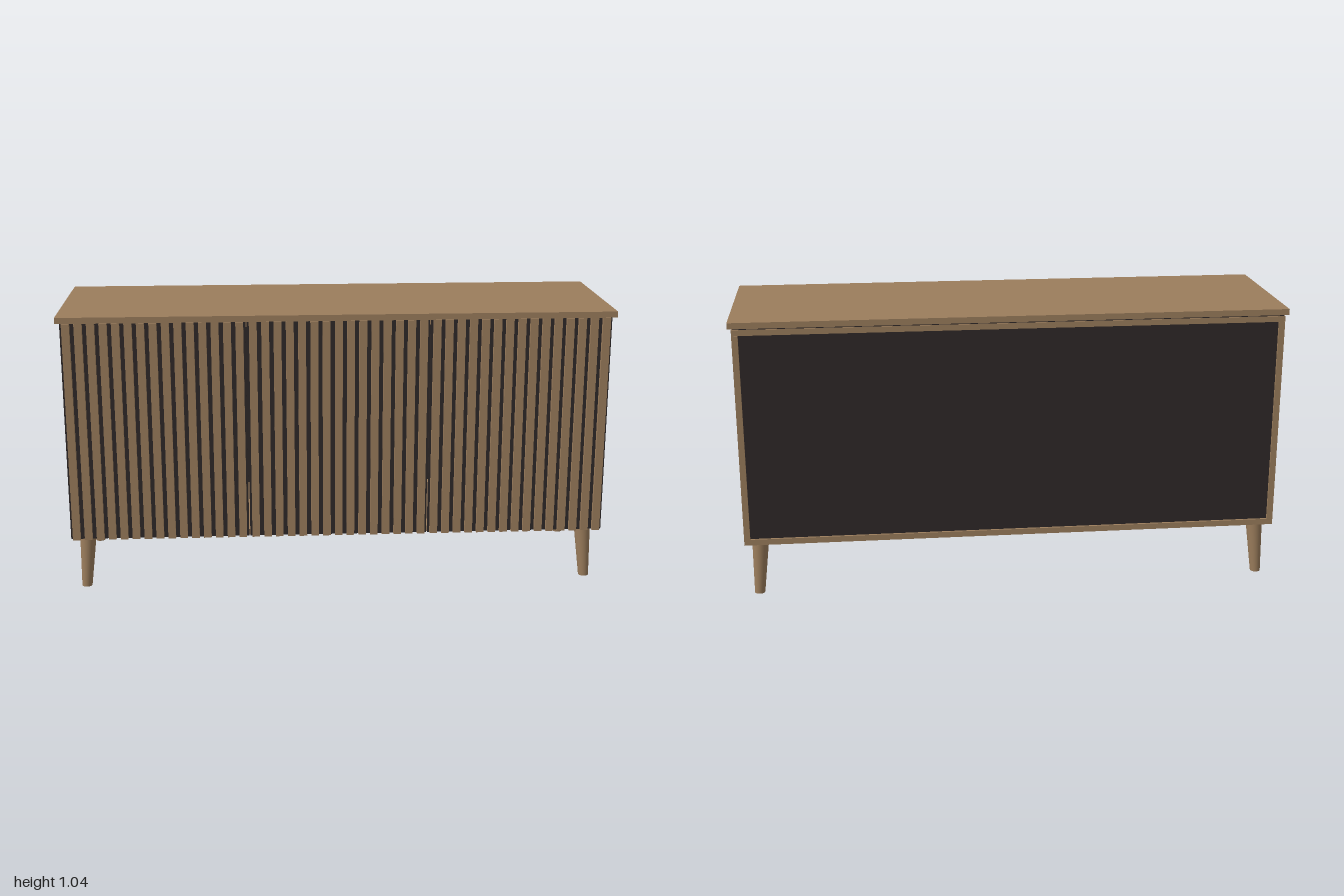
import * as THREE from 'three';

export function createModel() {
  const group = new THREE.Group();
  const wood = new THREE.MeshStandardMaterial({ color: 0x9b7d5c });
  wood.name = 'wood';
  const dark = new THREE.MeshStandardMaterial({ color: 0x2e2828 });
  dark.name = 'dark panel';

  // Box given by its lower and upper corners
  function board(name, material, [x0, y0, z0], [x1, y1, z1], parent = group) {
    const mesh = new THREE.Mesh(new THREE.BoxGeometry(x1 - x0, y1 - y0, z1 - z0), material);
    mesh.position.set((x0 + x1) / 2, (y0 + y1) / 2, (z0 + z1) / 2);
    mesh.name = name;
    parent.add(mesh);
    return mesh;
  }

  const half = 0.987, bottom = 0.205, back = -0.298, front = 0.264, thick = 0.022;

  // Cabinet body
  board('tabletop', wood, [-1, 1.018, -0.3], [1, 1.04, 0.3]);
  board('topShadowGap', dark, [-half + 0.004, 1.014, back + 0.004], [half - 0.004, 1.018, front]);
  board('upperBoard', wood, [-half, 0.993, back], [half, 1.014, front]);
  board('bottomBoard', wood, [-half + thick, bottom, back], [half - thick, bottom + thick, front]);
  board('leftSide', wood, [half - thick, bottom, back], [half, 0.992, front]);
  board('rightSide', wood, [-half, bottom, back], [-half + thick, 0.992, front]);
  board('backPanel', dark, [-half + thick, bottom + thick, back + 0.008], [half - thick, 0.993, back + 0.018]);

  // Three doors, each a dark panel faced with upright slats
  const doors = 3, slats = 15, gap = 0.004;
  const doorWidth = (2 * half - gap * (doors - 1)) / doors;
  const pitch = doorWidth / slats, slatWidth = 0.028;
  for (let d = 0; d < doors; d++) {
    const door = new THREE.Group();
    door.name = 'door' + (d + 1);
    group.add(door);
    const x0 = -half + d * (doorWidth + gap);
    board('doorPanel', dark, [x0, bottom, front + 0.002], [x0 + doorWidth, 1.015, 0.275], door);
    for (let i = 0; i < slats; i++) {
      const x = x0 + (i + 0.5) * pitch;
      board('slat', wood, [x - slatWidth / 2, bottom, 0.275], [x + slatWidth / 2, 1.015, 0.29], door);
    }
  }

  // Tapered legs, splayed by shearing the foot outwards
  function leg(name, top, foot) {
    const geometry = new THREE.CylinderGeometry(0.031, 0.019, bottom, 24);
    geometry.translate(0, bottom / 2, 0);
    const shear = new THREE.Matrix4().set(
      1, (top[0] - foot[0]) / bottom, 0, foot[0],
      0, 1, 0, 0,
      0, (top[1] - foot[1]) / bottom, 1, foot[1],
      0, 0, 0, 1);
    geometry.applyMatrix4(shear);
    const mesh = new THREE.Mesh(geometry, wood);
    mesh.name = name;
    group.add(mesh);
  }
  for (const [side, s] of [['Left', 1], ['Right', -1]]) {
    leg('front' + side + 'Leg', [s * 0.932, 0.207], [s * 0.944, 0.222]);
    leg('back' + side + 'Leg', [s * 0.932, -0.241], [s * 0.944, -0.256]);
  }
  return group;
}
